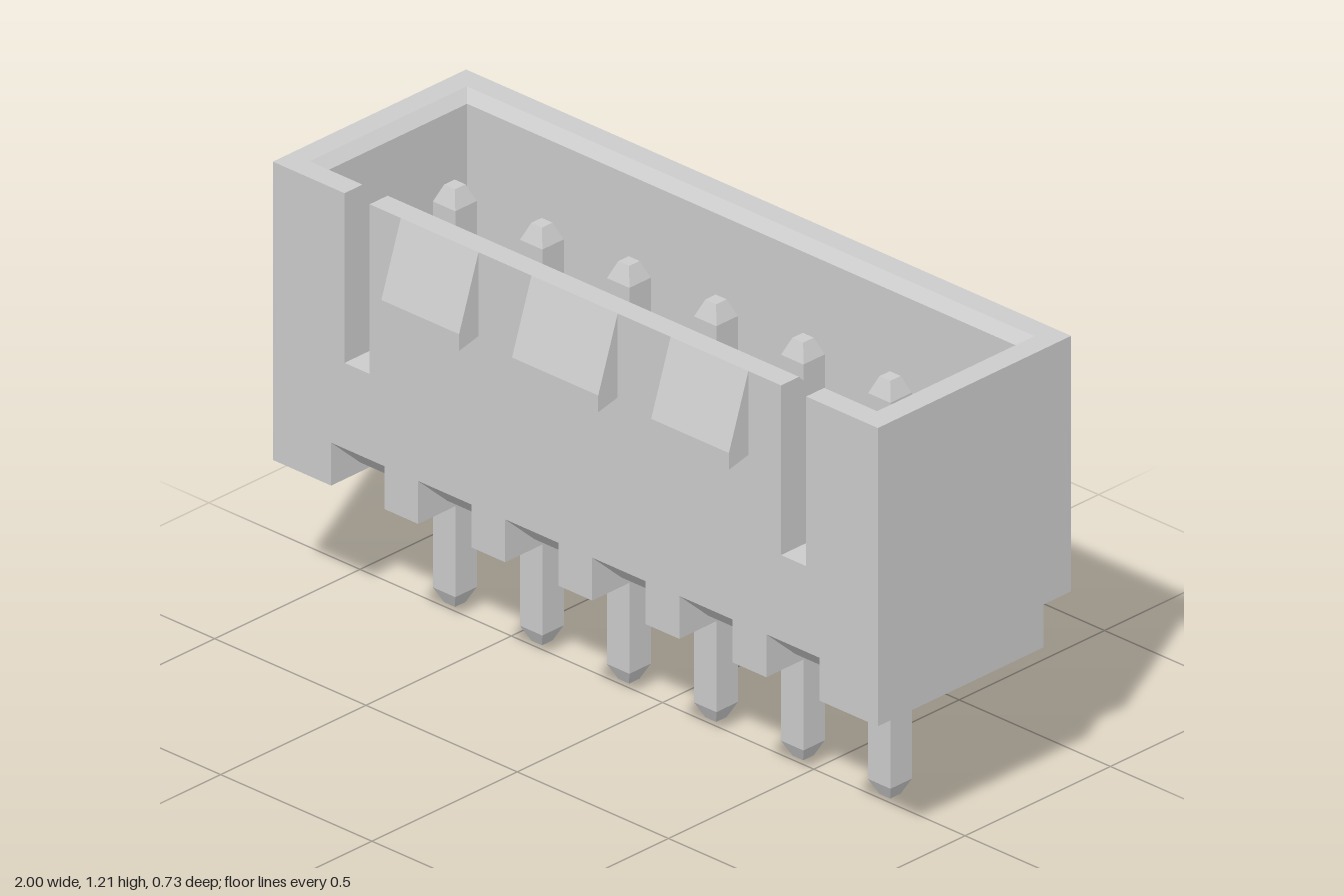
import * as THREE from 'three';

const material = new THREE.MeshStandardMaterial({ color: 0xcccccc, flatShading: true });

// Solid skin over a series of matching convex rings, capped at both ends
function loft(rings) {
  const pos = [];
  const tri = (a, b, c) => pos.push(...a, ...b, ...c);
  const n = rings[0].length;
  for (let r = 0; r < rings.length - 1; r++) {
    const a = rings[r], b = rings[r + 1];
    for (let i = 0; i < n; i++) {
      const j = (i + 1) % n;
      tri(a[i], b[i], b[j]);
      tri(a[i], b[j], a[j]);
    }
  }
  const first = rings[0], last = rings[rings.length - 1];
  for (let i = 1; i < n - 1; i++) {
    tri(first[0], first[i], first[i + 1]);
    tri(last[0], last[i + 1], last[i]);
  }
  const geometry = new THREE.BufferGeometry();
  geometry.setAttribute('position', new THREE.Float32BufferAttribute(pos, 3));
  geometry.computeVertexNormals();
  return geometry;
}

// Profile of [z, y] points drawn out from x0 to x1
const extrudeX = (profile, x0, x1) =>
  loft([x0, x1].map((x) => profile.map(([z, y]) => [x, y, z])));

// Profile of [inset, y] points swept along [x, z, insetX, insetZ] stations
const sweepWall = (profile, stations) =>
  loft(stations.map(([x, z, ix, iz]) => profile.map(([d, y]) => [x + ix * d, y, z + iz * d])));

function boxBetween(x0, x1, y0, y1, z0, z1) {
  return new THREE.BoxGeometry(x1 - x0, y1 - y0, z1 - z0)
    .translate((x0 + x1) / 2, (y0 + y1) / 2, (z0 + z1) / 2);
}

export function createModel() {
  const model = new THREE.Group();
  const add = (name, geometry) => {
    const mesh = new THREE.Mesh(geometry, material);
    mesh.name = name;
    model.add(mesh);
  };

  const front = 0.3, back = -0.365, top = 1.205;
  const floor = 0.63, ledge = 0.52, bottom = 0.405, footBack = -0.27;
  const slotIn = 0.68, slotOut = 0.763, sill = 0.75;
  const pinX = [0, 1, 2, 3, 4, 5].map((i) => (i - 2.5) * 0.2877);

  // Housing walls with a chamfered inner rim, split by two slots at the front
  const wall = [[0, floor], [0, top], [0.062, top], [0.088, top - 0.028], [0.088, floor]];
  add('outerWall', sweepWall(wall, [
    [slotOut, front, 0, -1], [1, front, -1, -1], [1, back, -1, 1],
    [-1, back, 1, 1], [-1, front, 1, -1], [-slotOut, front, 0, -1],
  ]));
  add('frontWall', sweepWall(wall, [[-slotIn, front, 0, -1], [slotIn, front, 0, -1]]));
  for (const [x0, x1] of [[-slotOut, -slotIn], [slotIn, slotOut]]) {
    add('slotSill', boxBetween(x0, x1, floor, sill, front - 0.088, front));
  }
  add('cavityFloor', boxBetween(-1, 1, ledge, floor, back, front));

  // Underside feet, separated by a shallow groove at each pin
  const groove = [
    [footBack, 0.495], [-0.2, 0.43], [0.2, 0.43], [front, ledge], [footBack, ledge],
  ];
  const half = 0.088;
  let footStart = -1;
  for (const x of pinX) {
    add('foot', boxBetween(footStart, x - half, bottom, ledge, footBack, front));
    add('grooveCeiling', extrudeX(groove, x - half, x + half));
    footStart = x + half;
  }
  add('foot', boxBetween(footStart, 1, bottom, ledge, footBack, front));

  // Wedge latches on the front
  const latch = [[front, 0.98], [0.367, 0.965], [0.367, 1.01], [front, top]];
  for (const [x0, x1] of [[-0.577, -0.32], [-0.145, 0.14], [0.315, 0.572]]) {
    add('latchWedge', extrudeX(latch, x0, x1));
  }

  // Square pins with tapered tips
  const corners = [[1, 1], [-1, 1], [-1, -1], [1, -1]];
  const pin = [[0, 0.018], [0.04, 0.037], [1.075, 0.037], [1.12, 0.018]];
  for (const x of pinX) {
    add('pin', loft(pin.map(([y, h]) => corners.map(([cx, cz]) => [x + cx * h, y, cz * h - 0.034]))));
  }
  return model;
}
